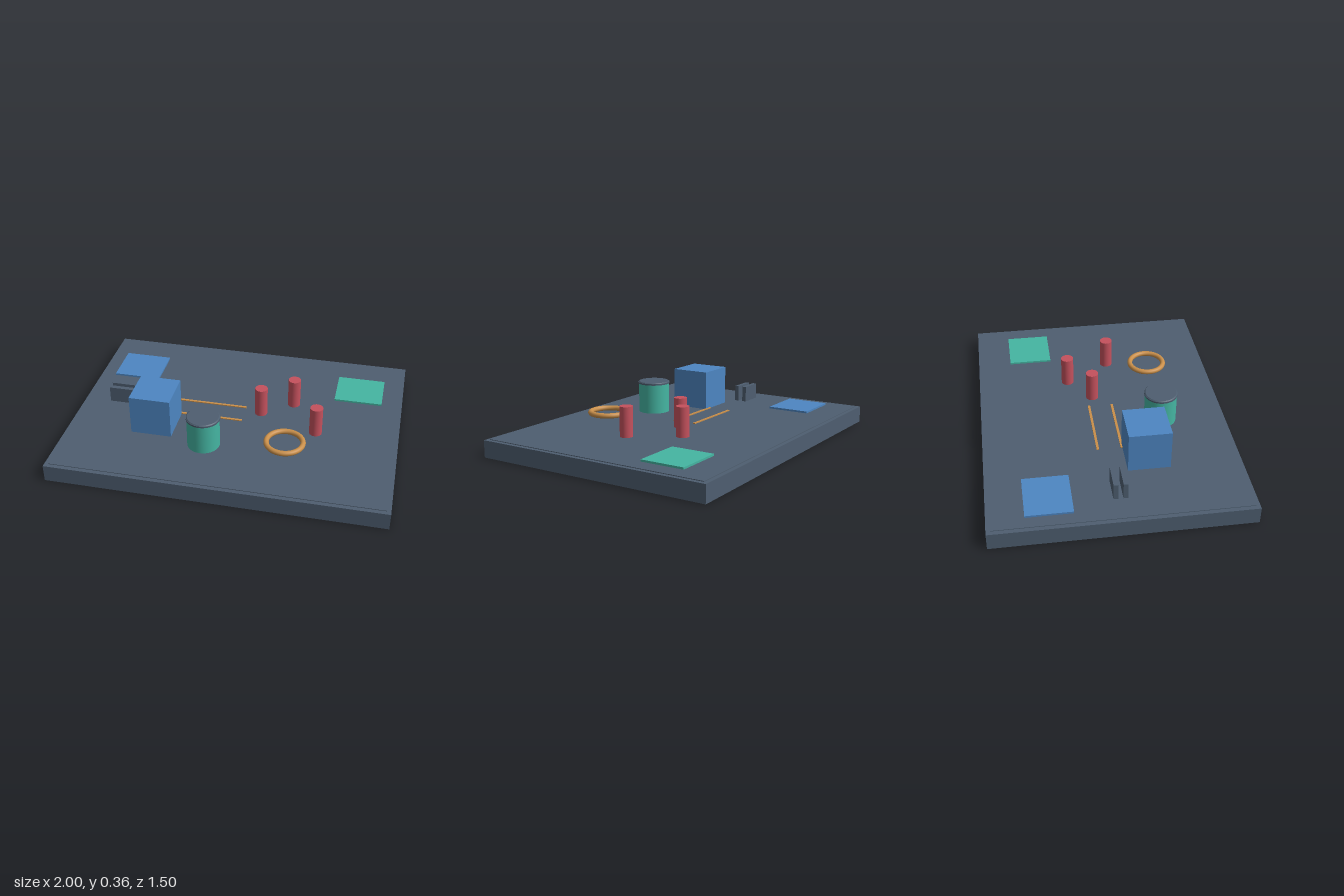
import * as THREE from 'three';

const mat = (name, color, side = THREE.FrontSide) => {
  const m = new THREE.MeshStandardMaterial({ color, side });
  m.name = name;
  return m;
};

export function createModel() {
  const group = new THREE.Group();
  const slate = mat('slate', 0x4e5e70);
  const blue = mat('blue', 0x4d86c2);
  const teal = mat('teal', 0x45b5a2);
  const red = mat('red', 0xc4515d);
  const amber = mat('amber', 0xc98f4a);

  const add = (name, geometry, material, x, y, z) => {
    const mesh = new THREE.Mesh(geometry, material);
    mesh.name = name;
    mesh.position.set(x, y, z);
    group.add(mesh);
    return mesh;
  };
  // Box given by its centre in plan and its bottom and top heights
  const box = (name, material, x, z, w, d, y0, y1) =>
    add(name, new THREE.BoxGeometry(w, y1 - y0, d), material, x, (y0 + y1) / 2, z);
  const cylinder = (name, material, x, z, rTop, rBottom, y0, y1) =>
    add(name, new THREE.CylinderGeometry(rTop, rBottom, y1 - y0, 48), material, x, (y0 + y1) / 2, z);

  // Table slab with a thin raised work surface
  box('tableBase', slate, 0, 0, 2, 1.5, 0, 0.104);
  box('workSurface', slate, 0, 0, 1.95, 1.45, 0.104, 0.108);

  // Marked zones in the back corners
  box('blueZone', blue, -0.752, -0.404, 0.3, 0.27, 0.108, 0.12);
  box('tealZone', teal, 0.722, -0.404, 0.3, 0.27, 0.108, 0.12);

  // Large cube
  box('cube', blue, -0.475, 0.2, 0.25, 0.25, 0.106, 0.356);

  // Canister with a dark lid
  cylinder('canisterBody', teal, -0.14, 0.348, 0.098, 0.098, 0.106, 0.3);
  cylinder('canisterLid', slate, -0.14, 0.348, 0.102, 0.102, 0.294, 0.304);
  cylinder('canisterLidTop', slate, -0.14, 0.348, 0.095, 0.1, 0.304, 0.309);

  // Upright pegs
  for (const [x, z] of [[0.136, -0.039], [0.323, -0.177], [0.499, 0.1]]) {
    cylinder('peg', red, x, z, 0.039, 0.039, 0.106, 0.291);
  }

  // Floating ring
  const ring = add('ring', new THREE.TorusGeometry(0.108, 0.016, 16, 64), amber, 0.348, 0.194, 0.348);
  ring.rotation.x = Math.PI / 2;

  // Guide rails and the paired upright plates
  for (const side of [-1, 1]) {
    box('guideRail', amber, -0.18, side * 0.072, 0.43, 0.015, 0.106, 0.114);
    box('uprightPlate', slate, -0.754, side * 0.028 - 0.002, 0.15, 0.027, 0.114, 0.215);
  }

  return group;
}
